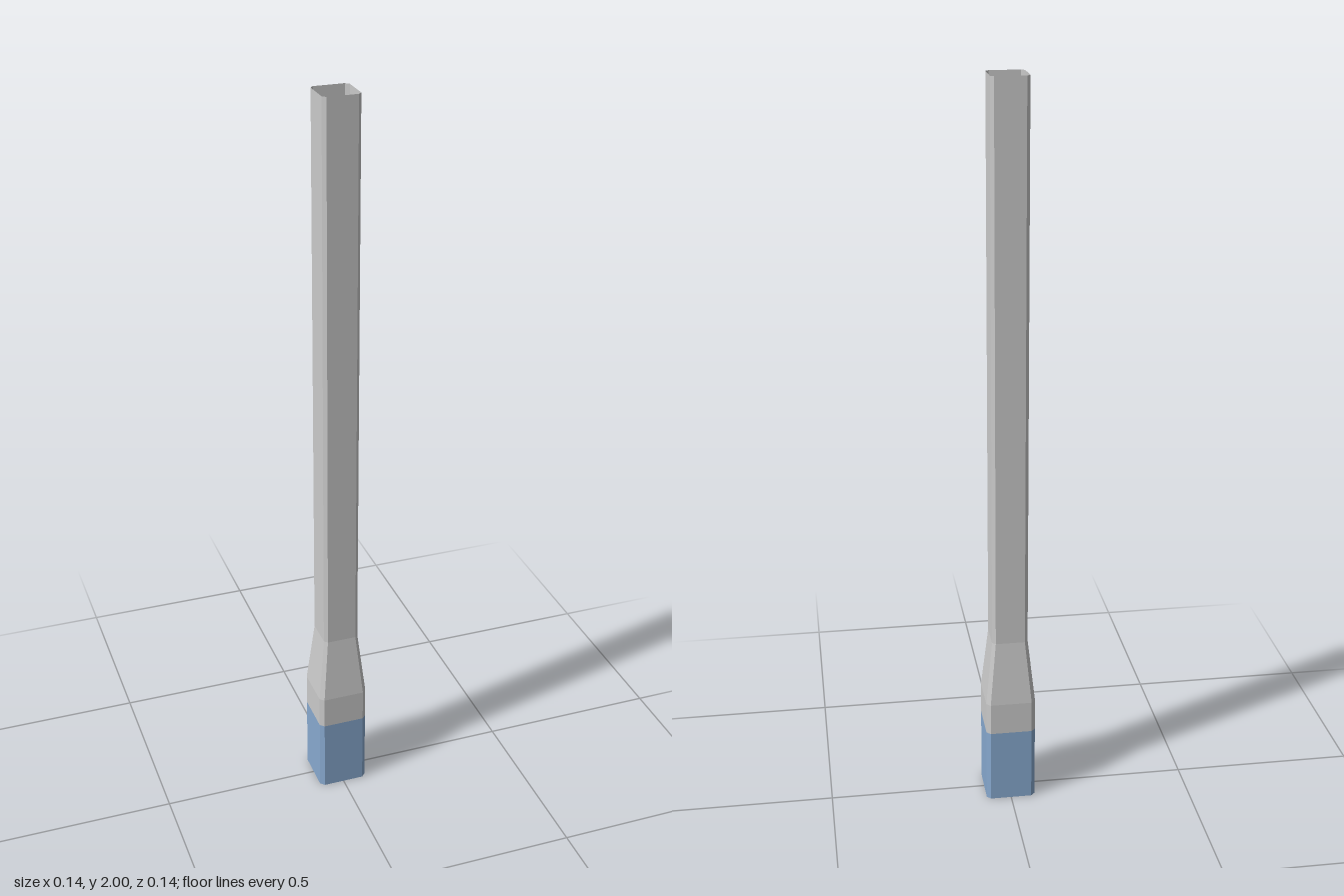
import * as THREE from 'three';

// Corners of a square ring with chamfered corners, counter-clockwise seen from above
function ring([y, half, chamfer]) {
  const a = half, b = half - chamfer;
  return [[a, b], [a, -b], [b, -a], [-b, -a], [-a, -b], [-a, b], [-b, a], [b, a]]
    .map(([x, z]) => [x, y, z]);
}

// Open tube skinned through a list of [y, halfWidth, chamfer] sections
function tube(name, sections, color) {
  const rings = sections.map(ring), pos = [];
  for (let s = 0; s < rings.length - 1; s++) {
    for (let i = 0; i < 8; i++) {
      const j = (i + 1) % 8;
      const a = rings[s][i], b = rings[s][j], c = rings[s + 1][j], d = rings[s + 1][i];
      pos.push(...a, ...b, ...c, ...a, ...c, ...d);
    }
  }
  const geometry = new THREE.BufferGeometry();
  geometry.setAttribute('position', new THREE.Float32BufferAttribute(pos, 3));
  geometry.computeVertexNormals();
  const material = new THREE.MeshStandardMaterial({ color, flatShading: true, side: THREE.DoubleSide });
  const mesh = new THREE.Mesh(geometry, material);
  mesh.name = name;
  return mesh;
}

export function createModel() {
  const group = new THREE.Group();
  group.name = 'squarePost';

  // Coloured sleeve at the foot
  group.add(tube('footSleeve', [[0, 0.068, 0.011], [0.21, 0.068, 0.011]], 0x88aad0));

  // Collar above the sleeve, tapering into the shaft
  group.add(tube('collar', [[0.21, 0.068, 0.011], [0.3, 0.068, 0.011], [0.48, 0.049, 0.009]], 0xcccccc));

  // Long straight hollow shaft, open at the top
  group.add(tube('shaft', [[0.48, 0.049, 0.009], [2, 0.049, 0.009]], 0xcccccc));

  return group;
}
